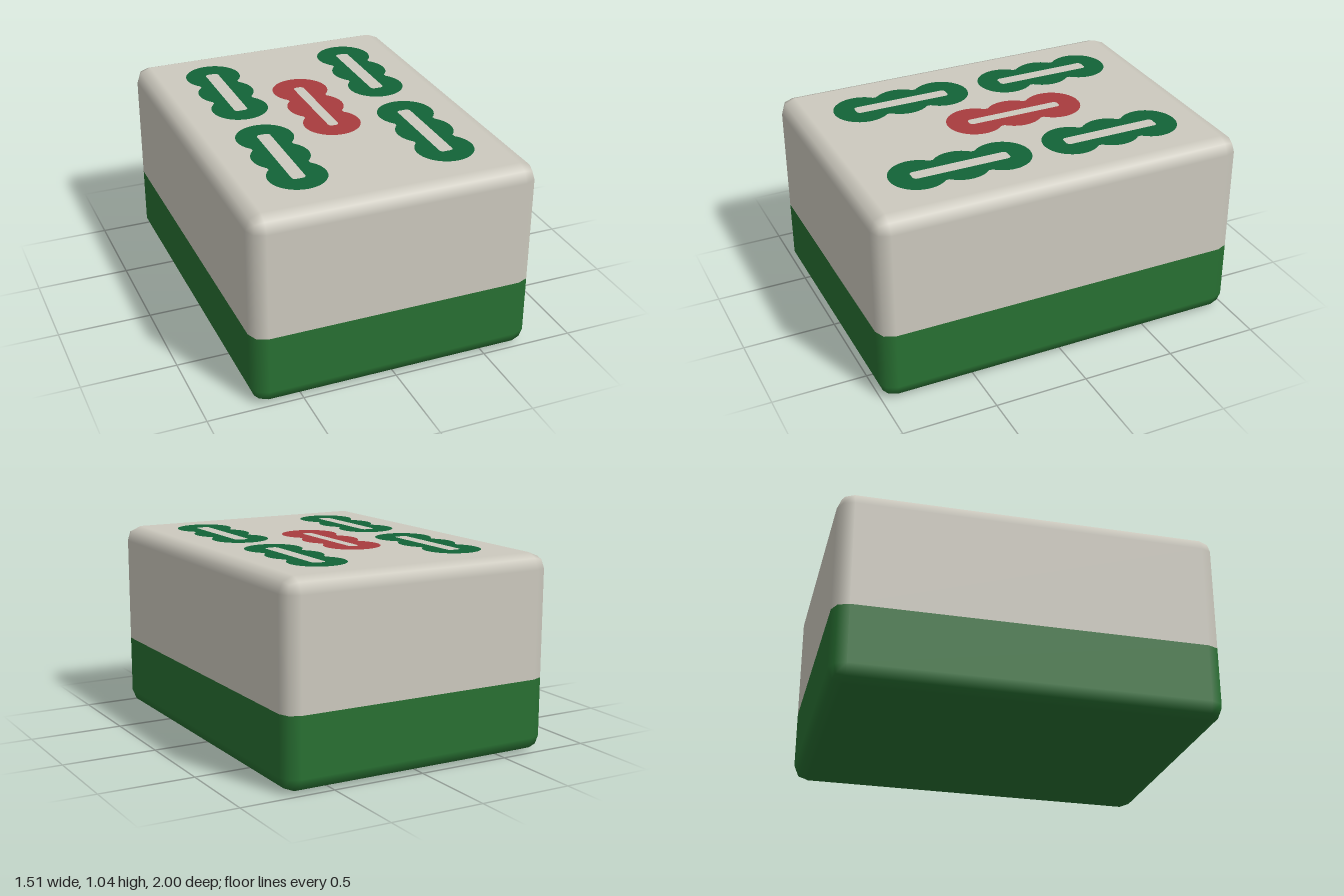
import * as THREE from 'three';
import { RoundedBoxGeometry } from 'three/addons/geometries/RoundedBoxGeometry.js';

const WIDTH = 1.51, HEIGHT = 1.037, DEPTH = 2, BEVEL = 0.08, SEAM = 0.39;

const ivory = new THREE.MeshStandardMaterial({ name: 'ivory', color: 0xccc9be });
const backGreen = new THREE.MeshStandardMaterial({ name: 'backGreen', color: 0x287032 });
const paintGreen = new THREE.MeshStandardMaterial({ name: 'paintGreen', color: 0x126338 });
const paintRed = new THREE.MeshStandardMaterial({ name: 'paintRed', color: 0xa83c3e });

// A slice of the bevelled block, flattened where it meets the seam
function blockSlice(name, material, minY, maxY) {
  const geometry = new RoundedBoxGeometry(WIDTH, HEIGHT, DEPTH, 1, BEVEL);
  geometry.translate(0, HEIGHT / 2, 0);
  const p = geometry.attributes.position;
  for (let i = 0; i < p.count; i++) p.setY(i, THREE.MathUtils.clamp(p.getY(i), minY, maxY));
  const mesh = new THREE.Mesh(geometry, material);
  mesh.name = name;
  return mesh;
}

// Painted bamboo stick: three joined lobes with a rounded slot
function bambooStick(name, material, x, z, slotHalf) {
  const r = 0.15, gap = 0.228, a = Math.acos(0.108 / r), PI = Math.PI;
  const shape = new THREE.Shape();
  shape.absarc(0, -gap, r, PI - a, 2 * PI + a, false);
  shape.absarc(0, 0, r, -a, a, false);
  shape.absarc(0, gap, r, -a, PI + a, false);
  shape.absarc(0, 0, r, PI - a, PI + a, false);
  shape.closePath();

  const slot = new THREE.Path();
  const c = 0.02, sx = slotHalf - c, sy = 0.262 - c;
  slot.absarc(sx, sy, c, 0, PI / 2, false);
  slot.absarc(-sx, sy, c, PI / 2, PI, false);
  slot.absarc(-sx, -sy, c, PI, PI * 1.5, false);
  slot.absarc(sx, -sy, c, PI * 1.5, PI * 2, false);
  shape.holes.push(slot);

  const geometry = new THREE.ShapeGeometry(shape, 20).rotateX(-PI / 2);
  const mesh = new THREE.Mesh(geometry, material);
  mesh.name = name;
  mesh.position.set(x, HEIGHT + 0.003, z);
  return mesh;
}

export function createModel() {
  const tile = new THREE.Group();
  tile.name = 'gameTile';
  tile.add(blockSlice('tileBack', backGreen, 0, SEAM));
  tile.add(blockSlice('tileFace', ivory, SEAM, HEIGHT));

  // Four green sticks around a red one
  for (const [side, x] of [['Left', 0.402], ['Right', -0.387]]) {
    for (const [end, z] of [['back', -0.427], ['front', 0.415]]) {
      tile.add(bambooStick(`${end}${side}Stick`, paintGreen, x, z, 0.036));
    }
  }
  tile.add(bambooStick('centreStick', paintRed, -0.004, -0.073, 0.028));
  return tile;
}
